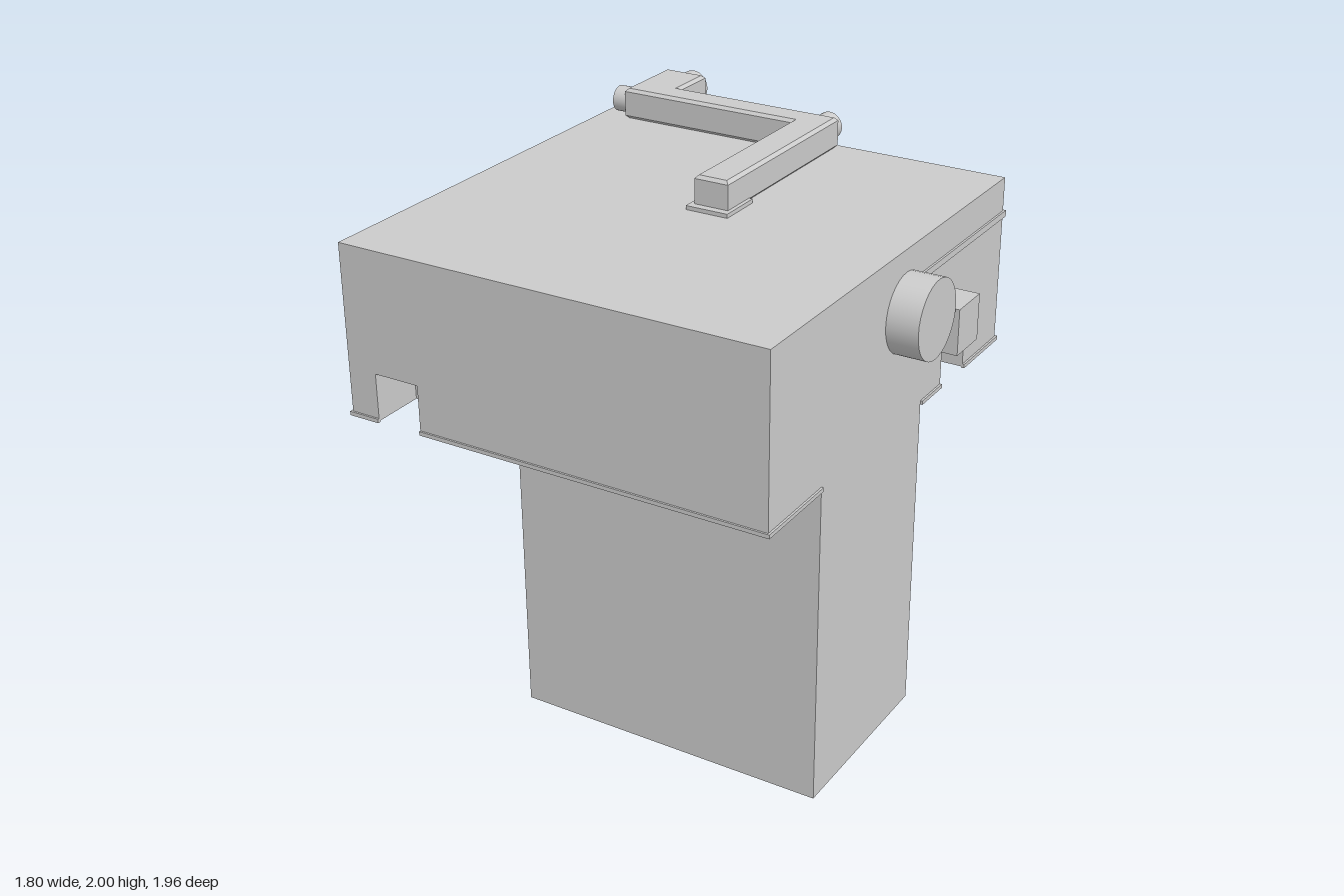
import * as THREE from 'three';

const material = new THREE.MeshStandardMaterial({ color: 0xcccccc, flatShading: true });
const smooth = new THREE.MeshStandardMaterial({ color: 0xcccccc });

export function createModel() {
  const model = new THREE.Group();

  const add = (name, geometry, mat = material) => {
    const mesh = new THREE.Mesh(geometry, mat);
    mesh.name = name;
    model.add(mesh);
    return mesh;
  };

  // Box given by its limits on each axis
  const box = (name, [x0, x1], [y0, y1], [z0, z1]) =>
    add(name, new THREE.BoxGeometry(x1 - x0, y1 - y0, z1 - z0))
      .position.set((x0 + x1) / 2, (y0 + y1) / 2, (z0 + z1) / 2);

  // Plan outline of [x, z] corners raised from y0 to y1
  const prism = (name, plan, y0, y1, bevel = 0) => {
    const shape = new THREE.Shape(plan.map(([x, z]) => new THREE.Vector2(x, -z)));
    const geometry = new THREE.ExtrudeGeometry(shape, {
      depth: y1 - y0 - 2 * bevel, bevelEnabled: bevel > 0, bevelSegments: 1,
      bevelSize: bevel, bevelThickness: bevel, bevelOffset: -bevel,
    });
    geometry.rotateX(-Math.PI / 2).translate(0, y0 + bevel, 0);
    return add(name, geometry);
  };

  // Round part centred at a point, lying along one axis
  const round = (name, axis, radius, length, position) => {
    const geometry = new THREE.CylinderGeometry(radius, radius, length, 32);
    if (axis === 'x') geometry.rotateZ(Math.PI / 2);
    if (axis === 'z') geometry.rotateX(Math.PI / 2);
    add(name, geometry, smooth).position.set(...position);
  };

  // L-shaped column, cut away at the back corner
  prism('column', [[-0.45, 0.625], [0.765, 0.625], [0.765, -0.11],
    [0.205, -0.11], [0.205, -0.747], [-0.45, -0.747]], 0, 1.24);

  // Upper block, with two niches in its lower layer
  box('upperBlock', [-0.895, 0.765], [1.42, 1.88], [-0.747, 0.975]);
  prism('nichedLayer', [[-0.895, 0.975], [-0.78, 0.975], [-0.78, 0.77], [-0.6, 0.77], [-0.6, 0.975],
    [0.765, 0.975], [0.765, -0.27], [0.55, -0.27], [0.55, -0.46], [0.765, -0.46],
    [0.765, -0.747], [-0.895, -0.747]], 1.24, 1.42);

  // Thin beads along the lower rim and below the back edge
  const low = [1.235, 1.25], high = [1.728, 1.752];
  box('frontBead', [-0.9, -0.78], low, [0.97, 0.982]);
  box('frontBead', [-0.6, 0.773], low, [0.97, 0.982]);
  box('rightSideBead', [-0.903, -0.89], low, [-0.755, 0.982]);
  box('leftSideBead', [0.76, 0.773], low, [0.625, 0.982]);
  box('leftSideBead', [0.76, 0.773], low, [-0.27, -0.11]);
  box('leftSideBead', [0.76, 0.773], low, [-0.755, -0.46]);
  box('backBead', [0.205, 0.773], low, [-0.755, -0.74]);
  box('backBead', [-0.903, -0.45], low, [-0.755, -0.74]);
  box('leftUpperBead', [0.76, 0.773], high, [-0.757, -0.06]);
  box('backUpperBead', [-0.6, 0.773], high, [-0.757, -0.74]);

  // Square duct over the top, down the back
  prism('topDuct', [[-0.78, -0.605], [-0.04, -0.605], [-0.04, 0.09], [0.095, 0.09],
    [0.095, -0.72], [-0.6, -0.72], [-0.6, -0.912], [-0.78, -0.912]], 1.88, 2, 0.012);
  box('backDuct', [-0.78, -0.6], [1.24, 1.985], [-0.912, -0.745]);
  box('ductFoot', [-0.057, 0.11], [1.88, 1.895], [-0.055, 0.12]);

  // Round caps at the duct corners
  round('sideCap', 'x', 0.05, 0.07, [-0.805, 1.938, -0.66]);
  round('middleCap', 'z', 0.053, 0.07, [0.025, 1.938, -0.75]);
  round('backCap', 'z', 0.063, 0.08, [-0.695, 1.923, -0.94]);
  round('bottomCap', 'y', 0.076, 0.07, [-0.695, 1.215, -0.828]);

  // Tapered outlet and small tab under the overhang
  const outlet = new THREE.CylinderGeometry(0.09 * Math.SQRT2, 0.077 * Math.SQRT2, 0.05, 4);
  outlet.rotateY(Math.PI / 4).scale(1, 1, 0.5);
  add('outlet', outlet).position.set(-0.69, 1.225, -0.69);
  box('tab', [-0.51, -0.445], [1.2, 1.225], [-0.72, -0.66]);

  // Knob and square block on the left side
  round('knob', 'x', 0.146, 0.13, [0.82, 1.65, 0.05]);
  box('sideBlock', [0.76, 0.895], [1.455, 1.628], [-0.273, -0.108]);

  return model;
}
